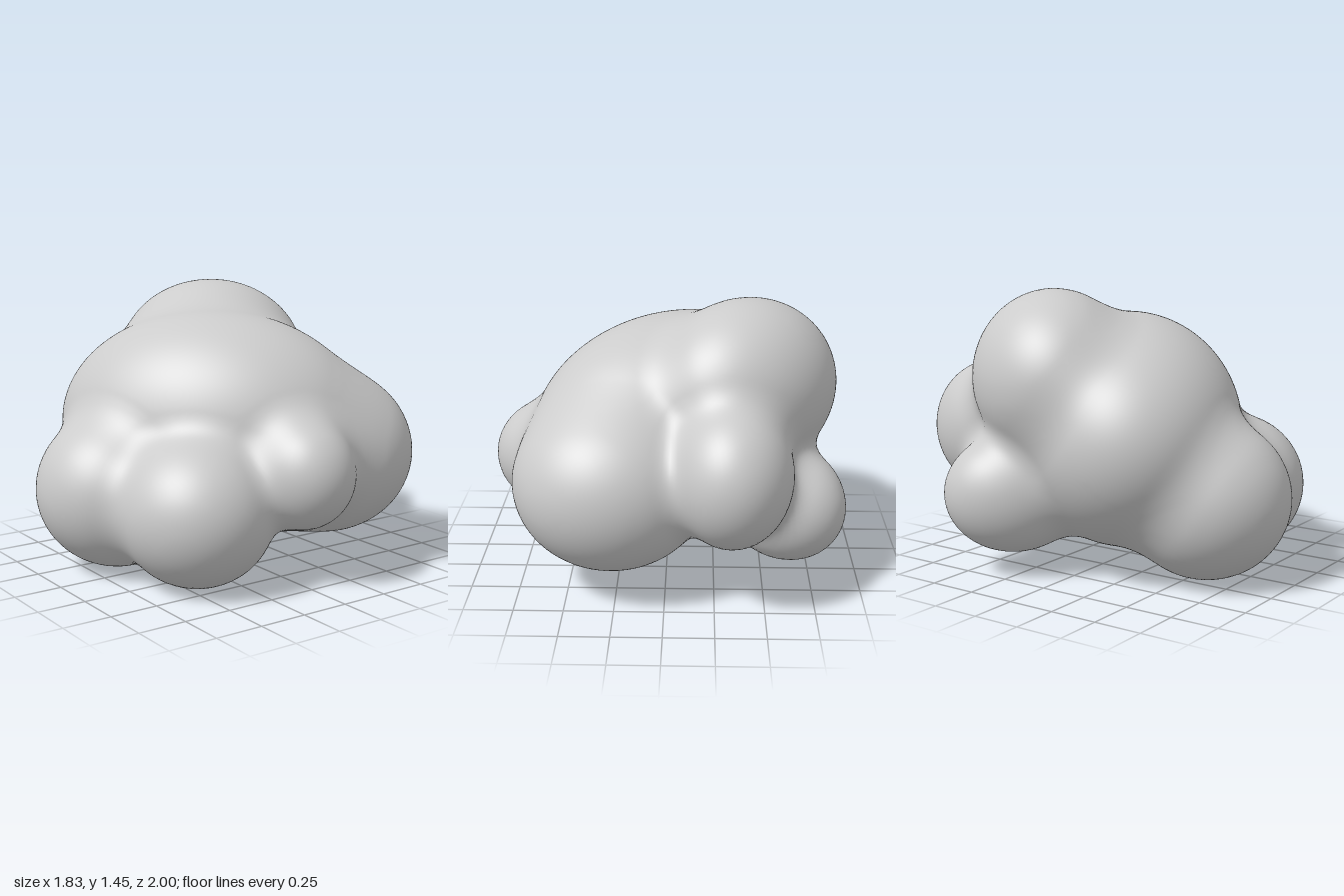
import * as THREE from 'three';
import { mergeVertices } from 'three/addons/utils/BufferGeometryUtils.js';

// Each puff: centre, radii, turn about the vertical axis (degrees)
const PUFFS = {
  mainBody: [[-0.065, 0.71, 0.03], [0.84, 0.61, 0.6], 37],
  topPuff: [[-0.4, 1.0, -0.19], [0.52, 0.45, 0.42], 45],
  frontPuff: [[-0.15, 0.42, 0.57], [0.42, 0.41, 0.43], 0],
  frontLeftPuff: [[0.35, 0.38, 0.42], [0.41, 0.38, 0.39], 0],
  leftPuff: [[0.61, 0.57, -0.03], [0.3, 0.29, 0.26], 0],
  backLeftPuff: [[0.27, 0.575, -0.445], [0.5, 0.445, 0.475], 0],
  backPuff: [[-0.33, 0.69, -0.64], [0.3, 0.36, 0.36], 0],
  rightPuff: [[-0.6, 0.42, -0.3], [0.36, 0.31, 0.27], -45],
};
const BLEND = 0.12;
const CORE = new THREE.Vector3(-0.05, 0.6, -0.03);
const UP = new THREE.Vector3(0, 1, 0);

const puffs = Object.values(PUFFS).map(([centre, radii, turn]) => ({
  centre: new THREE.Vector3(...centre),
  radii: new THREE.Vector3(...radii),
  turn: THREE.MathUtils.degToRad(turn),
}));

// Approximate distance from a point to one ellipsoid
function puffDistance(point, { centre, radii, turn }) {
  const q = point.clone().sub(centre).applyAxisAngle(UP, -turn).divide(radii);
  const k = q.length();
  return (k * (k - 1)) / Math.max(q.divide(radii).length(), 1e-6);
}

// Distance to all puffs, with the creases between them softened
function cloudDistance(point) {
  return puffs.reduce((near, puff) => {
    const d = puffDistance(point, puff);
    const h = Math.max(BLEND - Math.abs(near - d), 0);
    return Math.min(near, d) - (h * h) / (4 * BLEND);
  }, 10);
}

// Shrink a ball inwards along its rays until it rests on the puffs
function cloudSkin() {
  const ball = new THREE.IcosahedronGeometry(1, 40);
  ball.deleteAttribute('normal');
  ball.deleteAttribute('uv');
  const skin = mergeVertices(ball, 1e-4);
  const pos = skin.attributes.position;
  const ray = new THREE.Vector3();
  const point = new THREE.Vector3();
  for (let i = 0; i < pos.count; i++) {
    ray.fromBufferAttribute(pos, i).normalize();
    let reach = 1.3;
    for (let step = 0; step < 150; step++) {
      const gap = cloudDistance(point.copy(CORE).addScaledVector(ray, reach));
      if (gap < 0.0008) break;
      reach -= gap * 0.7;
    }
    pos.setXYZ(i, point.x, point.y, point.z);
  }
  skin.computeVertexNormals();
  return skin;
}

export function createModel() {
  const cloud = new THREE.Group();
  cloud.name = 'cloud';
  const material = new THREE.MeshStandardMaterial({ color: 0xcccccc });
  const body = new THREE.Mesh(cloudSkin(), material);
  body.name = 'puffyCloudBody';
  cloud.add(body);
  return cloud;
}
